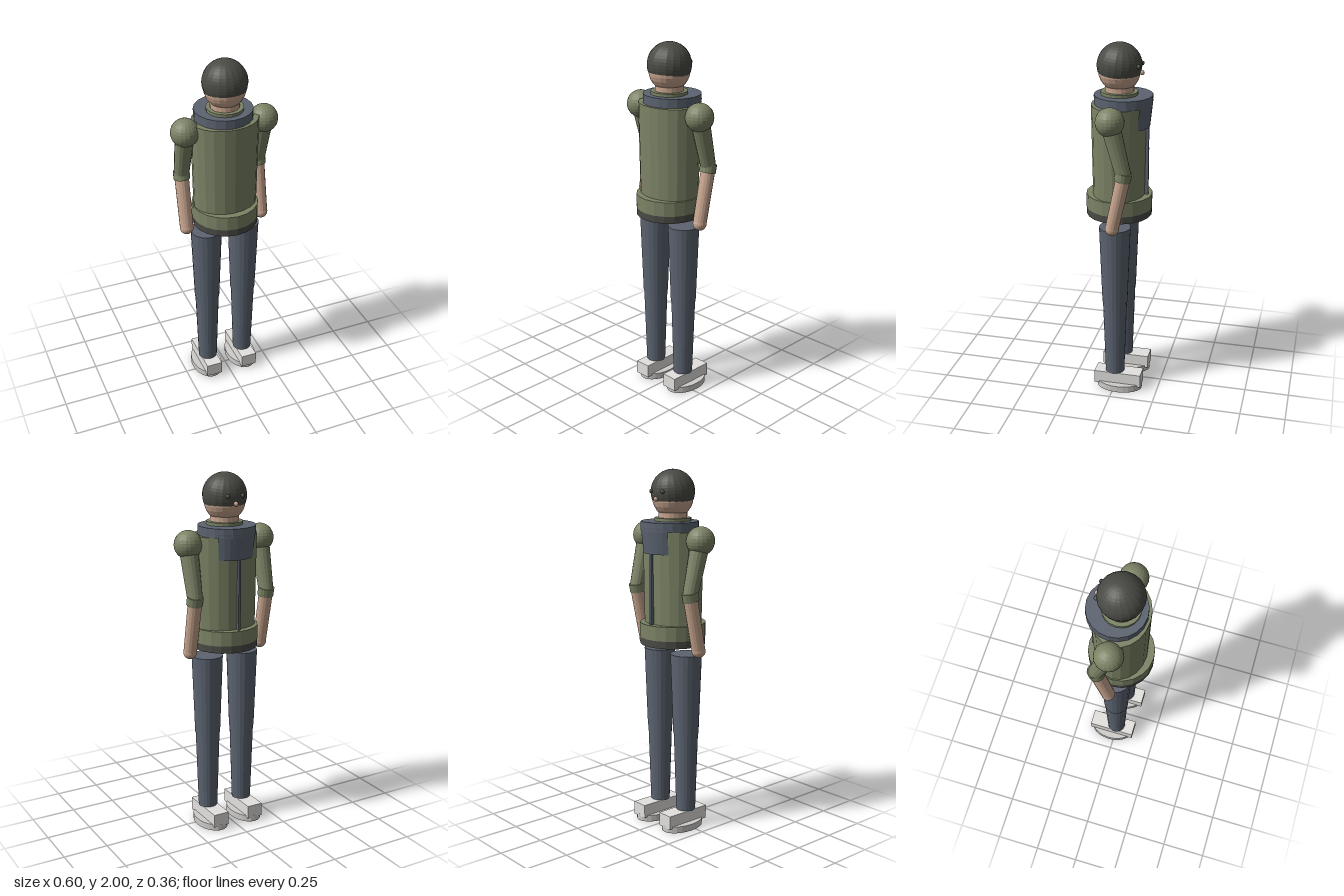
import * as THREE from 'three';

const mat = (name, color) => {
  const m = new THREE.MeshStandardMaterial({ color, flatShading: true });
  m.name = name;
  return m;
};

export function createModel() {
  const olive = mat('olive jacket', 0x7c8466);
  const slate = mat('slate cloth', 0x5c6471);
  const skin = mat('skin', 0xc9a68f);
  const dark = mat('dark hair', 0x4a4a45);
  const white = mat('shoe white', 0xe4e2df);
  const soleGrey = mat('sole grey', 0xcfcdca);
  slate.side = THREE.DoubleSide;
  dark.side = THREE.DoubleSide;

  const root = new THREE.Group();
  root.name = 'standingFigure';
  const add = (name, geo, material, x = 0, y = 0, z = 0, parent = root) => {
    const m = new THREE.Mesh(geo, material);
    m.name = name;
    m.position.set(x, y, z);
    parent.add(m);
    return m;
  };
  const ball = (r) => new THREE.SphereGeometry(r, 20, 14);
  // Upright tapered tube between two heights
  const tube = (name, material, y0, y1, r0, r1, x = 0, z = 0, seg = 20) =>
    add(name, new THREE.CylinderGeometry(r1, r0, y1 - y0, seg), material, x, (y0 + y1) / 2, z);
  // Tapered limb between two points
  const limb = (name, material, a, b, ra, rb, parent) => {
    const p = new THREE.Vector3(...a), q = new THREE.Vector3(...b);
    const d = q.clone().sub(p);
    const m = add(name, new THREE.CylinderGeometry(rb, ra, d.length(), 16), material, 0, 0, 0, parent);
    m.position.copy(p).add(q).multiplyScalar(0.5);
    m.quaternion.setFromUnitVectors(new THREE.Vector3(0, 1, 0), d.normalize());
    return m;
  };

  // Jacket
  const torso = tube('torso', olive, 1.09, 1.675, 0.175, 0.185);
  torso.scale.z = 0.81;
  tube('jacketHem', olive, 1.09, 1.17, 0.182, 0.182);
  tube('hemBand', dark, 1.05, 1.09, 0.181, 0.181);
  add('zip', new THREE.BoxGeometry(0.013, 0.42, 0.02), slate, 0, 1.365, -0.152);

  // Wide collar with the hanging flap on the zip side
  tube('collar', slate, 1.675, 1.725, 0.158, 0.158, 0, -0.022);
  add('collarFlap', new THREE.CylinderGeometry(0.158, 0.143, 0.14, 8, 1, true, Math.PI - 0.8, 1.6),
    slate, 0, 1.625, -0.022);
  tube('innerCollar', olive, 1.7, 1.742, 0.1, 0.1);

  // Head
  tube('neck', skin, 1.72, 1.775, 0.078, 0.078);
  add('head', ball(0.112), skin, 0, 1.85, 0);
  const hair = add('hair', new THREE.SphereGeometry(0.12, 20, 14, 0, Math.PI * 2, 0, 1.98), dark, 0, 1.88, 0);
  hair.rotation.x = -0.11;
  add('nose', ball(0.013), skin, 0, 1.845, -0.121);
  for (const s of [-1, 1]) add('eye', ball(0.012), dark, s * 0.045, 1.885, -0.112);

  for (const s of [-1, 1]) {
    // Arm, bent at the elbow
    const arm = new THREE.Group();
    arm.name = s > 0 ? 'leftArm' : 'rightArm';
    root.add(arm);
    const x = s * 0.222;
    add('shoulder', ball(0.077), olive, x, 1.632, 0, arm);
    limb('upperArm', olive, [x, 1.63, 0], [x, 1.34, -0.075], 0.052, 0.041, arm);
    limb('sleeveCuff', olive, [x, 1.365, -0.076], [x, 1.32, -0.066], 0.045, 0.045, arm);
    limb('forearm', skin, [x, 1.34, -0.073], [x, 1.04, -0.01], 0.039, 0.037, arm);
    add('hand', ball(0.038), skin, x, 1.04, -0.01, arm);

    // Leg
    const lx = s * 0.111;
    tube('thigh', slate, 0.55, 1.005, 0.071, 0.087, lx);
    tube('shin', slate, 0.1, 0.55, 0.054, 0.068, lx);

    // Shoe
    const sole = tube('sole', soleGrey, 0, 0.037, 0.086, 0.086, lx, -0.028, 24);
    sole.scale.z = 1.53;
    add('shoeUpper', new THREE.BoxGeometry(0.092, 0.076, 0.272), white, lx, 0.064, -0.022);
  }
  return root;
}
